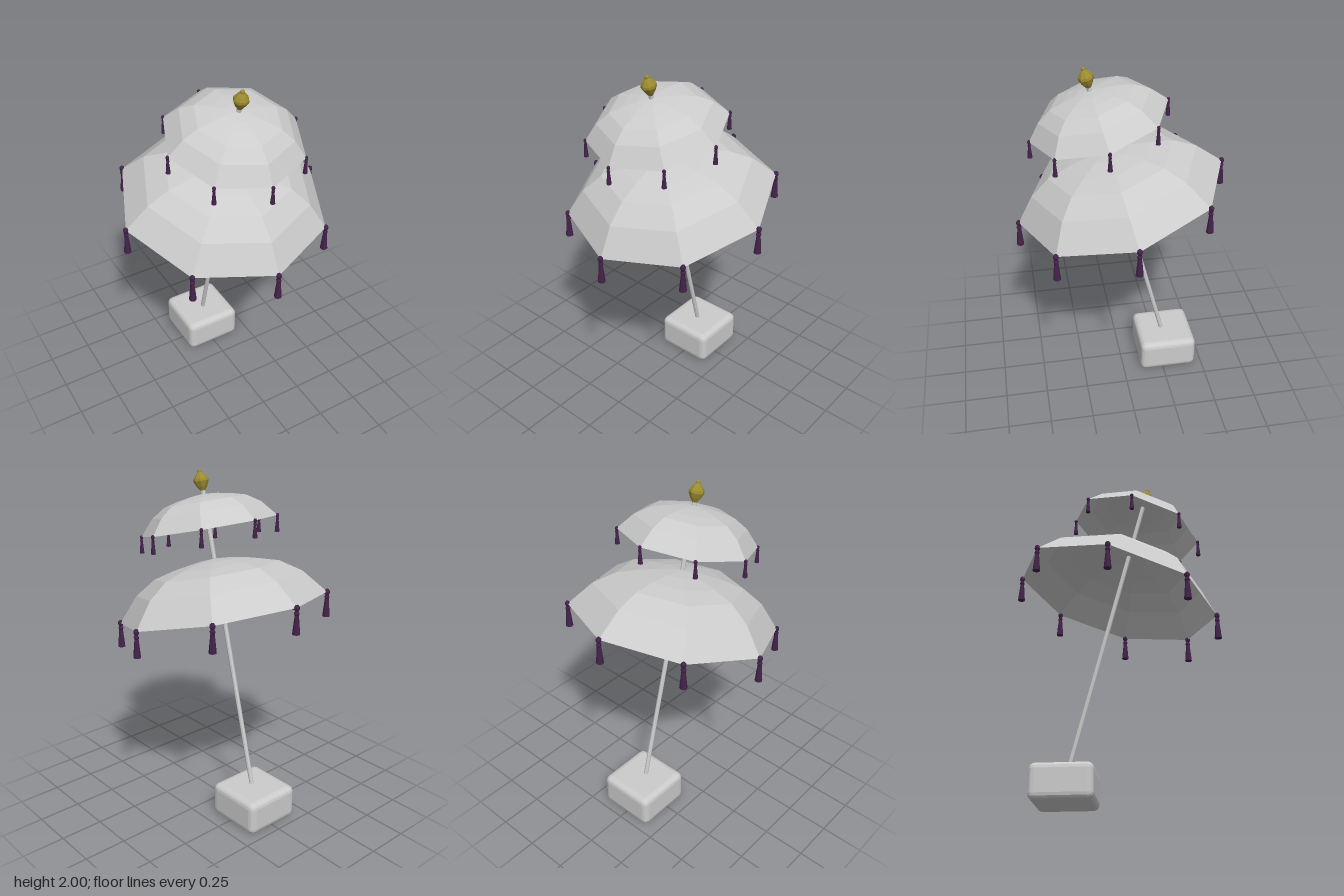
import * as THREE from 'three';
import { RoundedBoxGeometry } from 'three/addons/geometries/RoundedBoxGeometry.js';

const TILT = 0.25;          // lean of the pole towards the front
const SIDES = 8;

const grey = new THREE.MeshStandardMaterial({ color: 0xcccccc, flatShading: true });
const cloth = new THREE.MeshStandardMaterial({ color: 0xcccccc, flatShading: true, side: THREE.DoubleSide });
const gold = new THREE.MeshStandardMaterial({ color: 0x9c8c30, flatShading: true });
const purple = new THREE.MeshStandardMaterial({ color: 0x43224a, flatShading: true });

// profile: [radius, height] pairs from bottom to top
function lathe(name, profile, material, sides = SIDES) {
  const points = profile.map(([r, y]) => new THREE.Vector2(r, y));
  const mesh = new THREE.Mesh(new THREE.LatheGeometry(points, sides), material);
  mesh.name = name;
  return mesh;
}

// Tassel hanging down from its origin: knot, neck and flared skirt
function makeTassel(size) {
  const tassel = lathe('tassel', [
    [0, -0.145], [0.021, -0.145], [0.016, -0.09], [0.011, -0.04], [0.014, -0.034],
    [0.014, -0.026], [0.009, -0.02], [0.015, -0.006], [0.015, 0.006], [0.008, 0.015], [0, 0.017],
  ], purple);
  tassel.scale.setScalar(size);
  return tassel;
}

export function createModel() {
  const model = new THREE.Group();
  model.name = 'parasol';

  // Weighted foot
  const base = new THREE.Mesh(new RoundedBoxGeometry(0.348, 0.2, 0.348, 2, 0.035), grey);
  base.name = 'base';
  base.position.set(0, 0.1, -0.282);
  model.add(base);

  // Everything on the leaning pole
  const leaning = new THREE.Group();
  leaning.name = 'leaningParasol';
  leaning.position.set(0, 0.1, -0.289);
  leaning.rotation.x = TILT;
  model.add(leaning);

  const pole = new THREE.Mesh(new THREE.CylinderGeometry(0.013, 0.013, 1.85, SIDES), grey);
  pole.name = 'pole';
  pole.position.y = 0.925;
  leaning.add(pole);

  leaning.add(lathe('finial', [
    [0, 1.842], [0.014, 1.842], [0.03, 1.866], [0.043, 1.894], [0.041, 1.908],
    [0.028, 1.926], [0.013, 1.942], [0.012, 1.952], [0, 1.961],
  ], gold));
  leaning.updateMatrix();

  // Two canopies with tassels hanging straight down from the corners
  const rise = [0, 0.14, 0.217, 0.249, 0.271, 0.283];
  const tiers = [
    { name: 'lower', radius: 0.6, height: 1.177, scale: 1, tassel: 1 },
    { name: 'upper', radius: 0.388, height: 1.643, scale: 0.64, tassel: 0.64 },
  ];
  for (const tier of tiers) {
    const profile = rise.map((h, i) => [tier.radius * (1 - i / 5), h * tier.scale]);
    const canopy = lathe(tier.name + 'Canopy', profile, cloth);
    canopy.position.y = tier.height;
    leaning.add(canopy);

    const tassels = new THREE.Group();
    tassels.name = tier.name + 'Tassels';
    for (let i = 0; i < SIDES; i++) {
      const a = (i / SIDES) * Math.PI * 2;
      const tassel = makeTassel(tier.tassel);
      tassel.position
        .set(Math.sin(a) * tier.radius, tier.height, Math.cos(a) * tier.radius)
        .applyMatrix4(leaning.matrix);
      tassels.add(tassel);
    }
    model.add(tassels);
  }
  return model;
}
